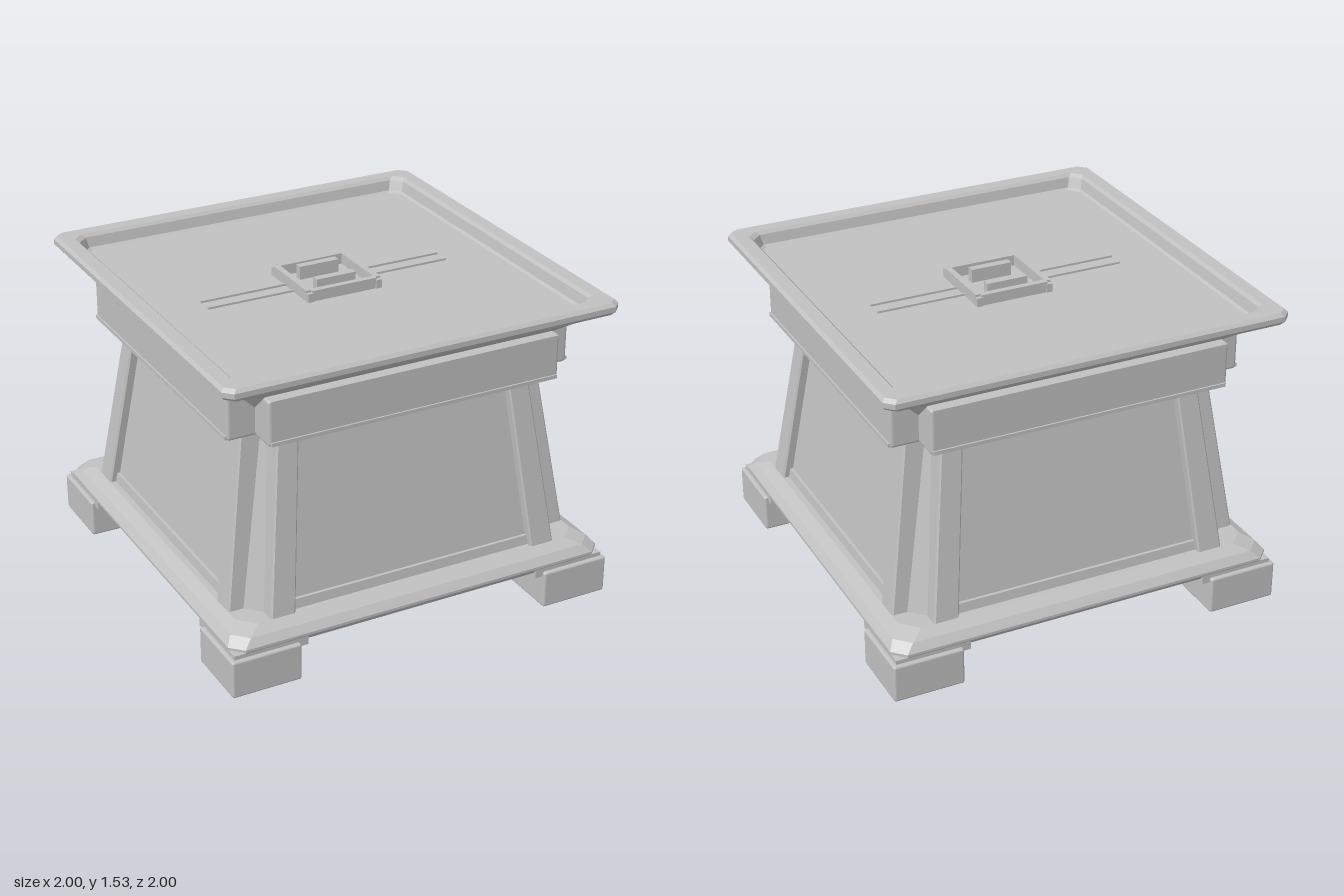
import * as THREE from 'three';
import { RoundedBoxGeometry } from 'three/addons/geometries/RoundedBoxGeometry.js';

const stone = new THREE.MeshStandardMaterial({ color: 0xc0c0c0 });
stone.name = 'grey stone';

// Flat-faced skin through rings of [x, y, z] points (anticlockwise from above), capped at both ends
function loft(rings) {
  const pos = [];
  const tri = (...pts) => pts.forEach((p) => pos.push(...p));
  const n = rings[0].length;
  for (let i = 0; i < rings.length - 1; i++) {
    for (let j = 0; j < n; j++) {
      const k = (j + 1) % n, lo = rings[i], hi = rings[i + 1];
      tri(lo[j], lo[k], hi[k]);
      tri(lo[j], hi[k], hi[j]);
    }
  }
  const first = rings[0], last = rings[rings.length - 1];
  for (let j = 1; j < n - 1; j++) {
    tri(first[0], first[j + 1], first[j]);
    tri(last[0], last[j], last[j + 1]);
  }
  const g = new THREE.BufferGeometry();
  g.setAttribute('position', new THREE.Float32BufferAttribute(pos, 3));
  g.computeVertexNormals();
  return g;
}

// Square ring with cut corners: half width, corner cut, height
function cutSquare([h, c, y]) {
  const s = h - c;
  return [[h, s], [h, -s], [s, -h], [-s, -h], [-h, -s], [-h, s], [-s, h], [s, h]]
    .map(([x, z]) => [x, y, z]);
}

// Bar cross-section with bevelled front edges
function barRing(x0, x1, back, front, y, b = 0.008) {
  return [[x1 - b, front], [x1, front - b], [x1, back], [x0, back], [x0, front - b], [x0 + b, front]]
    .map(([x, z]) => [x, y, z]);
}

function add(parent, name, geometry, x = 0, y = 0, z = 0) {
  const m = new THREE.Mesh(geometry, stone);
  m.name = name;
  m.position.set(x, y, z);
  parent.add(m);
  return m;
}

// Distance of the sloping wall from the axis at height y
const wall = (y, offset = 0) => 0.83 - 0.13 * (y - 0.29) / 0.87 + offset;

// Everything fixed to one of the four walls
function createSide() {
  const side = new THREE.Group();
  side.name = 'side';

  // Leaning bars
  for (const s of [1, -1]) {
    const ring = (a, b, y) => barRing(Math.min(s * a, s * b), Math.max(s * a, s * b),
      wall(y, -0.05), wall(y, 0.07), y);
    add(side, 'leaningBar', loft([ring(0.63, 0.755, 0.29), ring(0.54, 0.65, 1.16)]));
  }

  // Panel between the bars, with a sill and a top rail
  const strip = (name, y0, y1, out) => {
    const ring = (y) => {
      const w = 0.66 - 0.09 * (y - 0.29) / 0.87;
      return barRing(-w, w, wall(y, -0.04), wall(y, out), y, 0.004);
    };
    add(side, name, loft([ring(y0), ring(y1)]));
  };
  strip('panel', 0.29, 1.16, 0.025);
  strip('sill', 0.29, 0.34, 0.04);
  strip('topRail', 1.06, 1.09, 0.033);
  strip('topRailUpper', 1.09, 1.16, 0.042);

  // Board under the cornice, with slim lips
  add(side, 'apronBoard', new RoundedBoxGeometry(1.49, 0.225, 0.19, 2, 0.016), 0, 1.265, 0.785);
  add(side, 'lowerLip', new THREE.BoxGeometry(1.47, 0.018, 0.12), 0, 1.167, 0.828);
  add(side, 'upperLip', new THREE.BoxGeometry(1.47, 0.012, 0.1), 0, 1.369, 0.835);
  return side;
}

export function createModel() {
  const model = new THREE.Group();
  model.name = 'pedestal';

  // Feet with wider caps
  for (const x of [1, -1]) {
    for (const z of [1, -1]) {
      add(model, 'foot', new RoundedBoxGeometry(0.35, 0.19, 0.35, 2, 0.012), x * 0.825, 0.095, z * 0.825);
      add(model, 'footCap', new THREE.BoxGeometry(0.37, 0.045, 0.37), x * 0.795, 0.188, z * 0.795);
    }
  }

  // Plinth with sloping top
  add(model, 'plinth', loft([
    [0.95, 0.07, 0.177], [0.965, 0.07, 0.19], [0.985, 0.06, 0.215], [0.985, 0.06, 0.228],
    [0.955, 0.07, 0.265], [0.9, 0.08, 0.293],
  ].map(cutSquare)));

  // Tapering body
  add(model, 'body', loft([[wall(0.28), 0.08, 0.28], [wall(1.17), 0.08, 1.17]].map(cutSquare)));

  for (let i = 0; i < 4; i++) {
    const side = createSide();
    side.rotation.y = i * Math.PI / 2;
    model.add(side);
  }

  // Flaring cornice with a sunken tray
  add(model, 'cornice', loft([
    [0.74, 0.1, 1.148], [0.755, 0.1, 1.19], [0.8, 0.1, 1.3], [0.83, 0.08, 1.375], [0.875, 0.06, 1.41],
    [0.94, 0.05, 1.45], [0.985, 0.04, 1.472], [1, 0.04, 1.49], [1, 0.04, 1.515], [0.985, 0.04, 1.53],
    [0.92, 0.045, 1.53], [0.905, 0.05, 1.515], [0.893, 0.05, 1.465], [0.88, 0.05, 1.456],
  ].map(cutSquare)));

  // Handle: square frame, two upright plates and two thin rails
  const handle = new THREE.Group();
  handle.name = 'handle';
  model.add(handle);
  for (const s of [1, -1]) {
    add(handle, 'frameSide', new THREE.BoxGeometry(0.03, 0.055, 0.34), s * 0.18, 1.482, 0);
    add(handle, 'frameEnd', new THREE.BoxGeometry(0.34, 0.055, 0.03), 0, 1.482, s * 0.17);
    for (const z of [1, -1]) {
      add(handle, 'frameCorner', new THREE.BoxGeometry(0.03, 0.045, 0.025), s * 0.18, 1.476, z * 0.178);
    }
    add(handle, 'uprightPlate', new THREE.BoxGeometry(0.207, 0.07, 0.038), 0, 1.487, s * 0.086 - 0.004);
    for (const x of [1, -1]) {
      add(handle, 'rail', new THREE.BoxGeometry(0.45, 0.012, 0.01), x * 0.41, 1.46, s * 0.041 - 0.004);
    }
  }
  return model;
}
